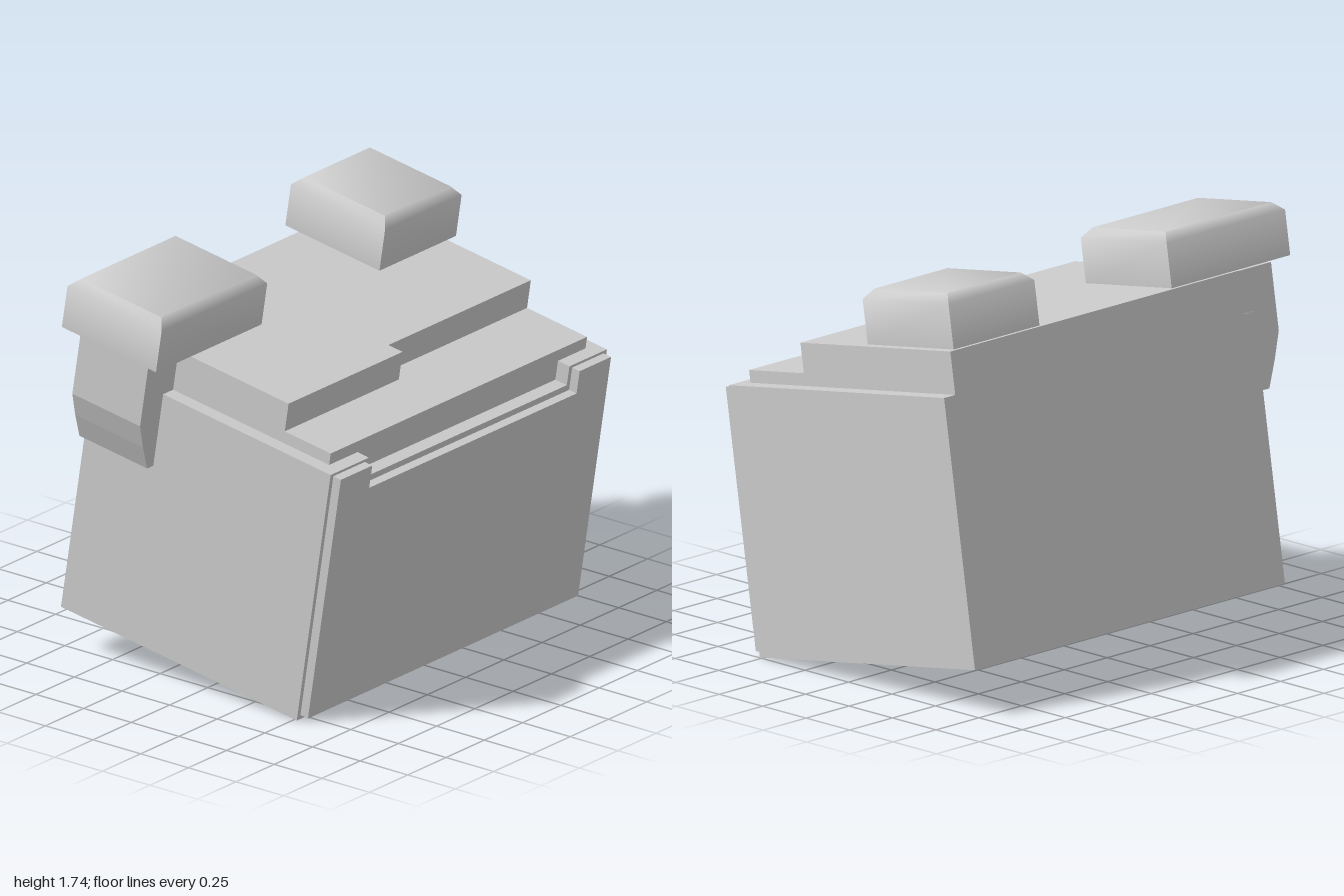
import * as THREE from 'three';
import { toCreasedNormals } from 'three/addons/utils/BufferGeometryUtils.js';
import { ConvexGeometry } from 'three/addons/geometries/ConvexGeometry.js';

const material = new THREE.MeshStandardMaterial({ color: 0xcccccc });

function addMesh(parent, name, geometry) {
  const mesh = new THREE.Mesh(geometry, material);
  mesh.name = name;
  parent.add(mesh);
}

// Box given by its limits on each axis
function block(x0, x1, y0, y1, z0, z1) {
  return new THREE.BoxGeometry(x1 - x0, y1 - y0, z1 - z0)
    .translate((x0 + x1) / 2, (y0 + y1) / 2, (z0 + z1) / 2);
}

// Outline in x and y, extruded from z0 to z1
function slab(points, z0, z1) {
  const shape = new THREE.Shape(points.map(([x, y]) => new THREE.Vector2(x, y)));
  return new THREE.ExtrudeGeometry(shape, { depth: z1 - z0, bevelEnabled: false }).translate(0, 0, z0);
}

// Rectangular plate with a wide notch cut in its top edge
function notched(x0, x1, y0, y1, n0, n1, ny, z0, z1) {
  return slab([[x0, y0], [x1, y0], [x1, y1], [n1, y1], [n1, ny], [n0, ny], [n0, y1], [x0, y1]], z0, z1);
}

// Block whose upper edges are softened by a chamfer
function softPad(x0, x1, y0, y1, z0, z1, c) {
  const points = [];
  for (const [y, inset] of [[y0, 0], [y1 - c, 0], [y1, c]])
    for (const x of [x0 + inset, x1 - inset])
      for (const z of [z0 + inset, z1 - inset]) points.push(new THREE.Vector3(x, y, z));
  return toCreasedNormals(new ConvexGeometry(points), 0.95);
}

export function createModel() {
  const group = new THREE.Group();
  group.name = 'battery';

  // The whole battery leans, pivoting on its lower front edge
  const tilted = new THREE.Group();
  tilted.name = 'tiltedBattery';
  tilted.position.set(0, 0.005, 0.515);
  tilted.rotation.x = 0.157;
  group.add(tilted);

  // Case with a notched front wall and a thin front panel
  addMesh(tilted, 'case', block(-0.81, 0.995, 0, 1.137, -1.253, -0.061));
  addMesh(tilted, 'frontWall', notched(-0.81, 0.995, 0, 1.137, -0.56, 0.75, 1.05, -0.061, 0));
  addMesh(tilted, 'frontPanel', notched(-0.79, 0.975, 0.02, 1.125, -0.585, 0.77, 1.022, 0, 0.04));

  // Stepped lid: the right half of the upper step reaches further forward
  addMesh(tilted, 'lowerLid', block(-0.745, 0.93, 1.137, 1.19, -1.253, -0.061));
  addMesh(tilted, 'upperLidRight', block(-0.745, 0, 1.19, 1.318, -1.253, -0.305));
  addMesh(tilted, 'upperLidLeft', block(0, 0.93, 1.19, 1.318, -1.253, -0.38));

  // Terminal clamps on short posts
  for (const [side, x0, x1] of [['right', -1, -0.31], ['left', 0.46, 0.96]]) {
    addMesh(tilted, side + 'Clamp', softPad(x0, x1, 1.335, 1.562, -1.305, -0.805, 0.037));
    addMesh(tilted, side + 'Post',
      new THREE.CylinderGeometry(0.085, 0.085, 0.06, 24).translate((x0 + x1) / 2, 1.33, -1.05));
  }

  // Cable bracket hanging down the rear right corner
  addMesh(tilted, 'cableBracket', slab(
    [[-0.72, 0.806], [-0.85, 0.806], [-0.9, 0.92], [-0.94, 1.03], [-0.94, 1.316], [-0.72, 1.316]].reverse(),
    -1.25, -0.89));

  return group;
}
